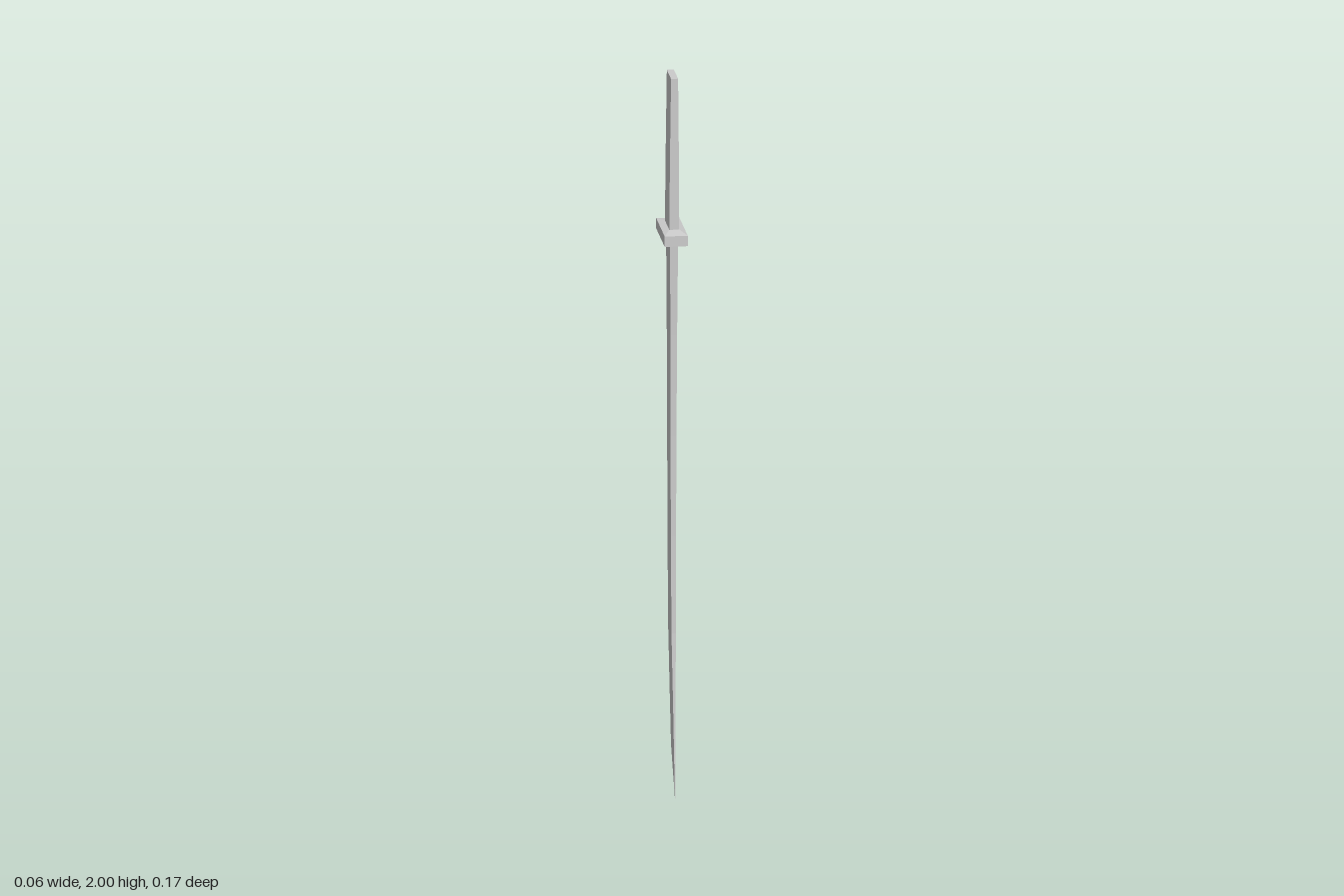
import * as THREE from 'three';

const material = new THREE.MeshStandardMaterial({ color: 0xcccccc, flatShading: true });

// Closed loft through four-cornered sections, listed from bottom to top.
// Section: [front y, front z, front half-width, back y, back z, back half-width]
function loft(name, sections) {
  const rings = sections.map(([fy, fz, fw, by, bz, bw]) => [
    [-fw, fy, fz], [fw, fy, fz], [bw, by, bz], [-bw, by, bz],
  ]);
  const pos = [];
  const quad = (a, b, c, d) => pos.push(...a, ...b, ...c, ...a, ...c, ...d);
  for (let i = 0; i < rings.length - 1; i++) {
    const lo = rings[i], hi = rings[i + 1];
    for (let j = 0; j < 4; j++) {
      const k = (j + 1) % 4;
      quad(lo[j], lo[k], hi[k], hi[j]);
    }
  }
  const first = rings[0], last = rings[rings.length - 1];
  quad(first[3], first[2], first[1], first[0]);
  quad(last[0], last[1], last[2], last[3]);
  const geometry = new THREE.BufferGeometry();
  geometry.setAttribute('position', new THREE.Float32BufferAttribute(pos, 3));
  geometry.computeVertexNormals();
  const mesh = new THREE.Mesh(geometry, material);
  mesh.name = name;
  return mesh;
}

// Level section at one height
const level = (y, front, back, half) => [y, front, half, y, back, half];

export function createModel() {
  const group = new THREE.Group();
  group.name = 'sword';

  // Curved blade, thinning towards a slanted point
  group.add(loft('blade', [
    [0, 0.066, 0.0008, 0.13, -0.005, 0.002],
    [0.24, 0.047, 0.003, 0.26, -0.018, 0.0035],
    [0.45, 0.035, 0.006, 0.47, -0.036, 0.006],
    level(0.72, 0.03, -0.038, 0.007),
    level(1.0, 0.031, -0.039, 0.008),
    level(1.28, 0.036, -0.039, 0.009),
    level(1.56, 0.043, -0.038, 0.011),
  ]));

  // Guard, slightly thicker where it meets the grip
  group.add(loft('guard', [
    level(1.538, 0.045, -0.045, 0.014),
    level(1.543, 0.087, -0.087, 0.031),
    level(1.572, 0.087, -0.087, 0.031),
    level(1.578, 0.048, -0.045, 0.014),
  ]));

  // Grip, leaning gently forward to a flat end
  group.add(loft('grip', [
    level(1.56, 0.046, -0.043, 0.0135),
    level(1.78, 0.05, -0.038, 0.012),
    level(2.0, 0.053, -0.034, 0.0095),
  ]));

  return group;
}
